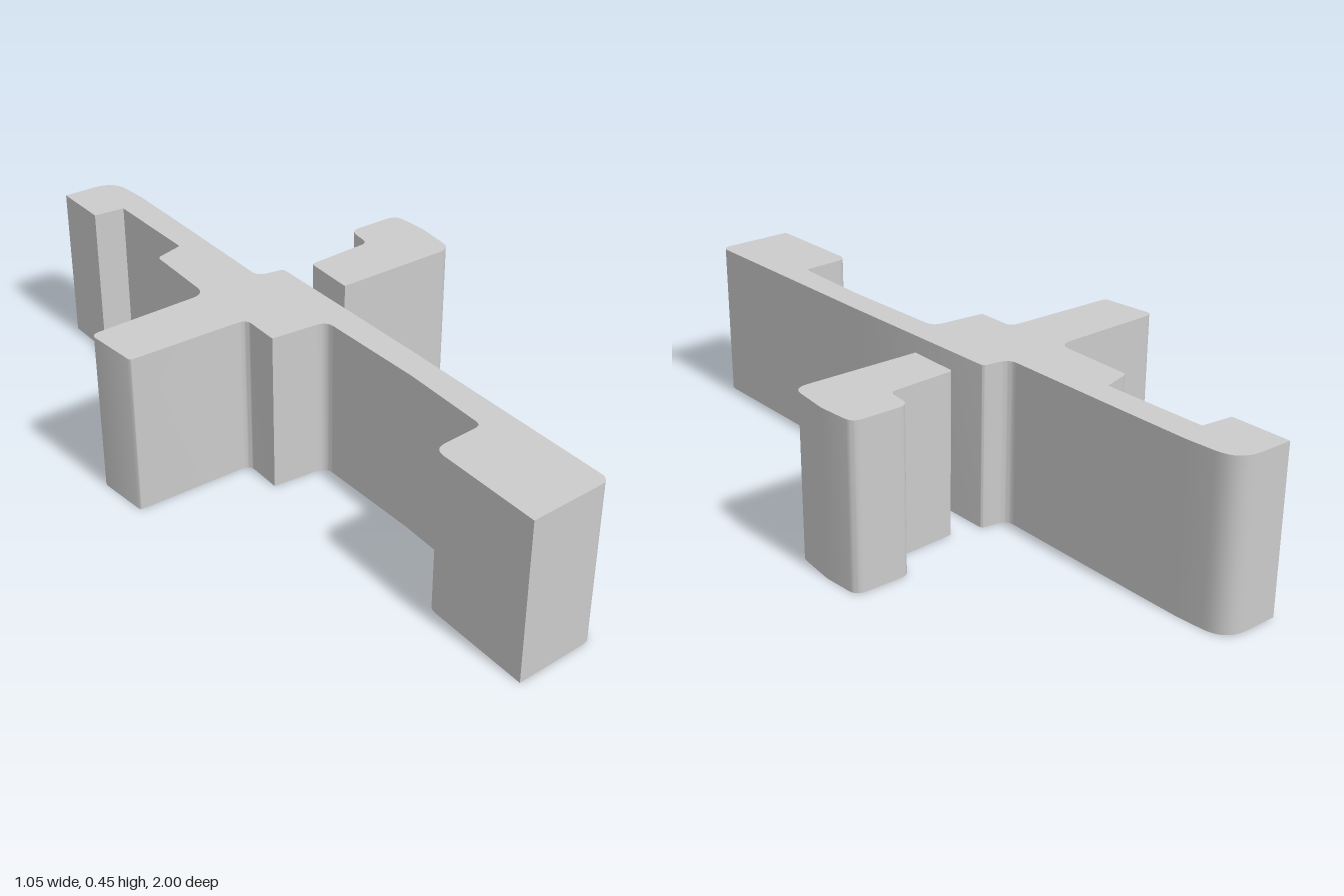
import * as THREE from 'three';
import { toCreasedNormals } from 'three/addons/utils/BufferGeometryUtils.js';

const HEIGHT = 0.45;

// Closed plan outline from corners [x, z, radius]; a radius rounds the corner.
function roundedOutline(corners) {
  const shape = new THREE.Shape();
  const points = corners.map(([x, z]) => new THREE.Vector2(x, -z));
  const n = points.length;
  points.forEach((p, i) => {
    const r = corners[i][2] || 0;
    const toward = (q) => p.clone().add(q.clone().sub(p).setLength(r));
    const a = r ? toward(points[(i + n - 1) % n]) : p;
    const b = r ? toward(points[(i + 1) % n]) : p;
    if (i === 0) shape.moveTo(a.x, a.y);
    else shape.lineTo(a.x, a.y);
    if (r) shape.quadraticCurveTo(p.x, p.y, b.x, b.y);
  });
  shape.closePath();
  return shape;
}

// Upright prism standing on y = 0
function prism(name, corners, material) {
  const geometry = new THREE.ExtrudeGeometry(roundedOutline(corners), {
    depth: HEIGHT, bevelEnabled: false, curveSegments: 8,
  });
  geometry.rotateX(-Math.PI / 2);
  const mesh = new THREE.Mesh(toCreasedNormals(geometry, 0.6), material);
  mesh.name = name;
  return mesh;
}

export function createModel() {
  const group = new THREE.Group();
  const material = new THREE.MeshStandardMaterial({ color: 0xcccccc });

  // Long wall with hooked ends and a cross arm
  group.add(prism('crossWall', [
    [-0.175, -1.0], [-0.012, -1.0, 0.07], [-0.003, -0.85], [-0.006, -0.6],
    [-0.012, -0.245, 0.03], [0.065, -0.235, 0.012],
    [0.066, 0.3], [0.06, 0.99, 0.03], [-0.175, 1.0],
    [-0.17, 0.67, 0.035], [-0.02, 0.66, 0.02], [-0.01, 0.4],
    [-0.015, 0.065, 0.03], [-0.175, 0.053],
    [-0.173, -0.065, 0.025], [-0.515, -0.068, 0.01],
    [-0.53, -0.234, 0.025], [-0.18, -0.246, 0.04],
    [-0.17, -0.495, 0.012], [-0.085, -0.52],
    [-0.085, -0.822], [-0.175, -0.83],
  ], material));

  // Separate stepped block
  group.add(prism('steppedBlock', [
    [0.14, -0.06], [0.51, -0.062, 0.04], [0.525, -0.2], [0.518, -0.312, 0.03],
    [0.355, -0.312, 0.03], [0.345, -0.226, 0.02], [0.145, -0.214, 0.012],
  ], material));

  return group;
}
